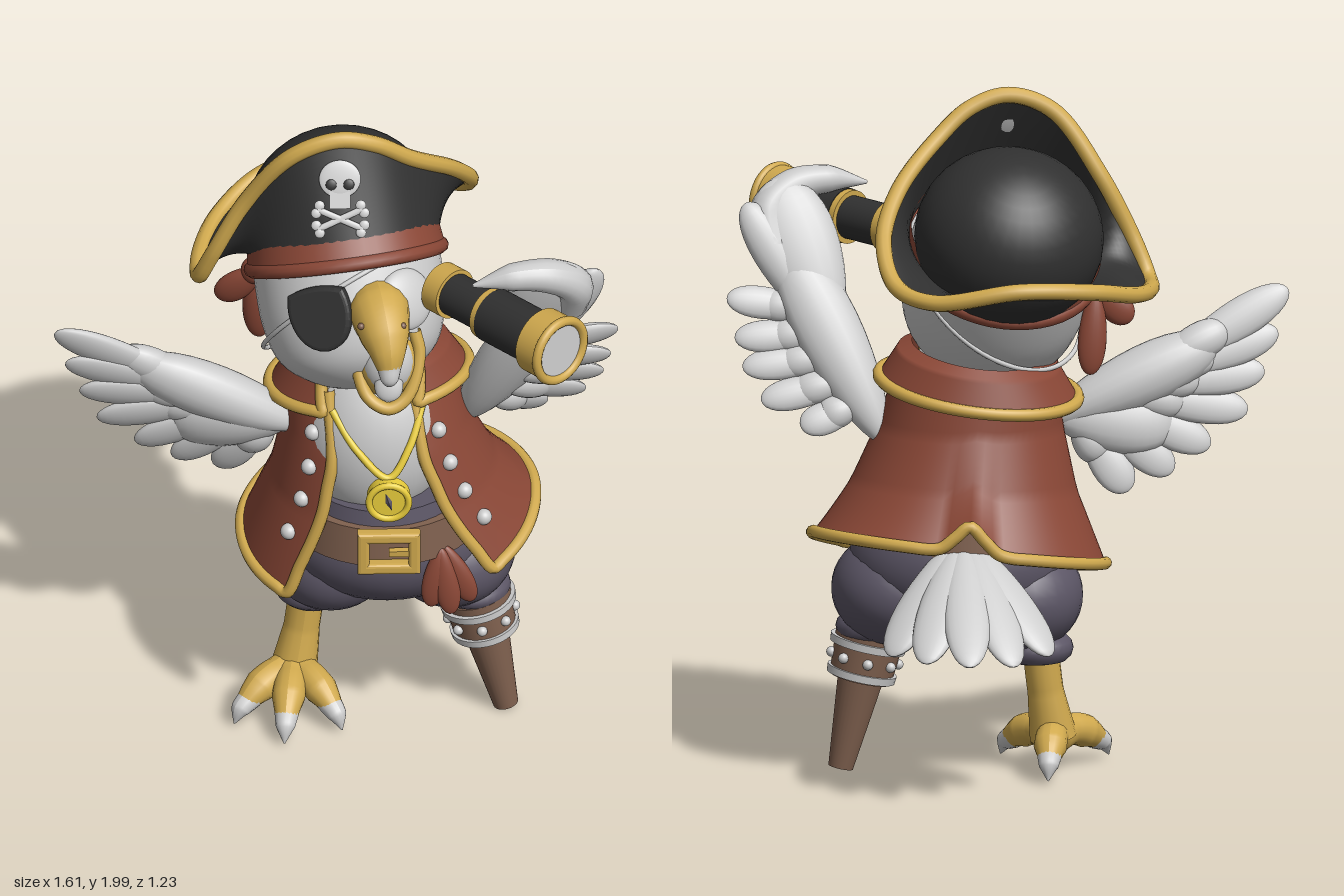
import * as THREE from 'three';
import { ParametricGeometry } from 'three/addons/geometries/ParametricGeometry.js';

const V = (x, y, z) => new THREE.Vector3(x, y, z);
const mat = (color) => new THREE.MeshStandardMaterial({ color, side: THREE.DoubleSide });
const grey = mat(0xcccccc), red = mat(0x8a4736), gold = mat(0xd0a94e), black = mat(0x303030);
const purple = mat(0x5c5666), brown = mat(0x80614f), yellow = mat(0xe8cc3c);

export function createModel() {
  const root = new THREE.Group();
  const group = (name, parent = root) => {
    const g = new THREE.Group();
    g.name = name;
    parent.add(g);
    return g;
  };
  const add = (parent, name, geo, m, p = [0, 0, 0], s = [1, 1, 1]) => {
    const o = new THREE.Mesh(geo, m);
    o.name = name;
    o.position.set(...p);
    o.scale.set(...s);
    parent.add(o);
    return o;
  };
  const ball = (parent, name, m, p, s) => add(parent, name, new THREE.SphereGeometry(1, 32, 20), m, p, s);
  const curveOf = (pts, closed = false) =>
    new THREE.CatmullRomCurve3(pts.map((p) => (p.isVector3 ? p : V(...p))), closed);
  const tube = (parent, name, m, pts, r, closed = false, n = 120) =>
    add(parent, name, new THREE.TubeGeometry(curveOf(pts, closed), n, r, 10, closed), m);

  // Tube whose radius follows a list of values along its path
  function taper(parent, name, m, pts, radii) {
    const curve = curveOf(pts), n = 24, seg = 16;
    const geo = new THREE.TubeGeometry(curve, n, 1, seg), pos = geo.attributes.position;
    for (let i = 0; i < pos.count; i++) {
      const t = Math.floor(i / (seg + 1)) / n, c = curve.getPointAt(t);
      const f = t * (radii.length - 1), k = Math.min(Math.floor(f), radii.length - 2);
      const r = THREE.MathUtils.lerp(radii[k], radii[k + 1], f - k);
      const v = V().fromBufferAttribute(pos, i).sub(c).multiplyScalar(r).add(c);
      pos.setXYZ(i, v.x, v.y, v.z);
    }
    geo.computeVertexNormals();
    return add(parent, name, geo, m);
  }

  // Flat feather or cloth leaf from a to b, broader towards b, facing n
  function leaf(parent, name, m, a, b, w, th, n = [0, 0, 1]) {
    const geo = new THREE.SphereGeometry(1, 20, 16), pos = geo.attributes.position;
    for (let i = 0; i < pos.count; i++) pos.setX(i, pos.getX(i) * (1 + 0.25 * pos.getY(i)));
    geo.computeVertexNormals();
    const A = V(...a), B = V(...b), y = B.clone().sub(A), len = y.length();
    y.normalize();
    const x = y.clone().cross(V(...n)).normalize(), z = x.clone().cross(y);
    const o = add(parent, name, geo, m, A.add(B).multiplyScalar(0.5).toArray(), [w, len / 2, th]);
    o.quaternion.setFromRotationMatrix(new THREE.Matrix4().makeBasis(x, y, z));
    return o;
  }

  // Open garment wrapped round the body; rows: [y, cx, cz, rx, rz, front half angle]
  function wrap(rows, adjust) {
    return (t, v, out = V()) => {
      const f = v * (rows.length - 1), k = Math.min(Math.floor(f), rows.length - 2);
      const [y, cx, cz, rx, rz, open] = rows[k].map((q, i) => THREE.MathUtils.lerp(q, rows[k + 1][i], f - k));
      const a = open + t * 2 * (Math.PI - open);
      const x = cx + rx * Math.sin(a), z = cz + rz * Math.cos(a);
      return out.set(x, y + adjust(x, z, v, a), z);
    };
  }
  function garment(parent, name, p) {
    add(parent, name, new ParametricGeometry(p, 60, 16), red);
    const edge = [];
    for (let i = 0; i < 8; i++) edge.push(p(0, i / 8));
    for (let i = 0; i <= 48; i++) edge.push(p(i / 48, 1));
    for (let i = 7; i >= 0; i--) edge.push(p(1, i / 8));
    tube(parent, name + 'Trim', gold, edge, 0.018, false, 260);
  }

  // Body and breeches
  const body = group('body');
  ball(body, 'chest', grey, [0.1, 1.0, 0.065], [0.23, 0.3, 0.235]);
  ball(body, 'breeches', purple, [0.14, 0.63, 0.03], [0.32, 0.22, 0.265]);
  ball(body, 'breechesSeat', purple, [0.14, 0.55, 0.02], [0.26, 0.12, 0.225]);
  ball(body, 'rightBreechesLeg', purple, [-0.02, 0.52, 0.01], [0.19, 0.17, 0.21]);
  ball(body, 'leftBreechesLeg', purple, [0.32, 0.54, 0.035], [0.19, 0.165, 0.21]);
  add(body, 'rightCuff', new THREE.TorusGeometry(0.07, 0.04, 12, 32).rotateX(Math.PI / 2), purple, [-0.07, 0.37, -0.02]);
  add(body, 'leftCuff', new THREE.TorusGeometry(0.075, 0.035, 12, 32).rotateX(Math.PI / 2), purple, [0.385, 0.425, 0.065]);

  // Belt, buckle and sash
  add(body, 'waistband', new THREE.CylinderGeometry(0.94, 1, 0.08, 40), purple, [0.13, 0.8, 0.05], [0.255, 1, 0.265]);
  add(body, 'belt', new THREE.CylinderGeometry(0.97, 1, 0.12, 40), brown, [0.13, 0.735, 0.05], [0.29, 1, 0.285]);
  const corners = (w, h) => [[-w, -h], [w, -h], [w, h], [-w, h]].map((p) => new THREE.Vector2(...p));
  const frame = new THREE.Shape(corners(0.08, 0.06));
  frame.holes.push(new THREE.Path(corners(0.066, 0.046).reverse()));
  add(body, 'buckle', new THREE.ExtrudeGeometry(frame, { depth: 0.02, bevelSize: 0.01, bevelThickness: 0.01, bevelSegments: 3 }), gold, [0.14, 0.735, 0.335]);
  add(body, 'bucklePin', new THREE.BoxGeometry(0.08, 0.018, 0.02), gold, [0.18, 0.735, 0.35]);
  leaf(body, 'sashEnd', red, [0.29, 0.7, 0.28], [0.26, 0.51, 0.3], 0.035, 0.02);
  leaf(body, 'sashEnd', red, [0.29, 0.7, 0.28], [0.32, 0.49, 0.31], 0.035, 0.02);
  leaf(body, 'sashEnd', red, [0.3, 0.7, 0.27], [0.38, 0.52, 0.29], 0.035, 0.02);

  // Coat and collar
  const coat = group('coat');
  const coatAt = wrap([
    [1.2, 0.09, 0.03, 0.23, 0.2, 0.55], [1.02, 0.11, 0.05, 0.265, 0.24, 0.5],
    [0.84, 0.13, 0.04, 0.325, 0.29, 0.6], [0.66, 0.145, 0.02, 0.42, 0.36, 0.78],
  ], (x, z, v, a) => v * v * (0.13 * (x - 0.12) - (z > 0 ? 0.28 : 0.15) * z + 0.08 * Math.max(0, 1 - Math.abs(a - Math.PI) / 0.22)));
  garment(coat, 'coatShell', coatAt);
  garment(coat, 'collar', wrap([
    [1.24, 0.09, 0.01, 0.19, 0.19, 0.75], [1.22, 0.09, 0.01, 0.23, 0.22, 0.65], [1.13, 0.09, 0.01, 0.285, 0.245, 0.5],
  ], (x, z) => 0.12 * (x - 0.09) + 0.12 * z));
  for (const t of [0.05, 0.95]) for (const v of [0.25, 0.43, 0.6, 0.77])
    ball(coat, 'button', grey, coatAt(t, v).toArray(), [0.024, 0.024, 0.024]);

  // Necklace with compass pendant
  const necklace = group('necklace');
  tube(necklace, 'chain', yellow, [[-0.02, 1.15, 0.23], [0.05, 1.05, 0.29], [0.14, 0.97, 0.315], [0.2, 1.05, 0.28], [0.24, 1.16, 0.21]], 0.011);
  add(necklace, 'pendant', new THREE.CylinderGeometry(0.062, 0.062, 0.04, 32).rotateX(Math.PI / 2), yellow, [0.14, 0.91, 0.33]);
  add(necklace, 'pendantRim', new THREE.TorusGeometry(0.057, 0.01, 10, 32), yellow, [0.14, 0.91, 0.35]);
  const needle = add(necklace, 'needle', new THREE.OctahedronGeometry(1), purple, [0.14, 0.91, 0.35], [0.01, 0.032, 0.006]);
  needle.rotation.z = 0.3;

  // Head, tipped back; its local y axis runs up through the hat
  const head = group('head');
  const up = V(-0.12, 0.85, -0.5).normalize(), side = V(0.99, 0.14, 0);
  side.addScaledVector(up, -side.dot(up)).normalize();
  head.position.set(0.02, 1.55, -0.04);
  head.quaternion.setFromRotationMatrix(new THREE.Matrix4().makeBasis(side, up, side.clone().cross(up)));
  const skullProfile = new THREE.SplineCurve([[0.001, -0.43], [0.12, -0.4], [0.22, -0.33], [0.262, -0.22], [0.27, -0.08], [0.26, 0.06]].map((p) => new THREE.Vector2(...p)));
  add(head, 'skull', new THREE.LatheGeometry(skullProfile.getPoints(24), 48), grey);
  add(head, 'headBand', new THREE.CylinderGeometry(0.275, 0.288, 0.09, 48, 1, true), red, [0, -0.01, 0]);
  add(head, 'headBandFold', new THREE.TorusGeometry(0.274, 0.022, 10, 48).rotateX(Math.PI / 2), red, [0, -0.045, 0]);
  const patch = new THREE.Shape();
  patch.moveTo(-0.075, 0.065).quadraticCurveTo(0, 0.09, 0.075, 0.065).bezierCurveTo(0.095, 0, 0.07, -0.085, 0, -0.09).bezierCurveTo(-0.07, -0.085, -0.095, 0, -0.075, 0.065);
  const eyePatch = add(head, 'eyePatch', new THREE.ExtrudeGeometry(patch, { depth: 0.012, bevelSize: 0.012, bevelThickness: 0.012, curveSegments: 10 }), black, [-0.075, -0.185, 0.248]);
  eyePatch.rotation.set(0.12, -0.28, 0.08);
  const strap = [...Array(32).keys()].map((i) => {
    const a = (i / 32) * Math.PI * 2;
    return V(0.268 * Math.sin(a), -0.15 + 0.13 * Math.sin(a + 0.38), 0.268 * Math.cos(a));
  });
  tube(head, 'patchStrap', grey, strap, 0.007, true);
  const eye = ball(head, 'eye', grey, [0.165, -0.17, 0.205], [0.09, 0.09, 0.035]);
  eye.rotation.y = 0.67;
  leaf(root, 'bandTail', red, [-0.22, 1.45, -0.05], [-0.34, 1.33, -0.08], 0.045, 0.025);
  leaf(root, 'bandTail', red, [-0.24, 1.43, -0.07], [-0.22, 1.18, -0.1], 0.04, 0.025);
  ball(root, 'bandKnot', red, [-0.23, 1.44, -0.06], [0.045, 0.04, 0.045]);

  // Open beak with a rimmed lower half
  const beak = group('beak');
  taper(beak, 'upperBeak', gold, [[0.1, 1.52, 0.18], [0.12, 1.51, 0.3], [0.135, 1.46, 0.37], [0.14, 1.41, 0.4]], [0.075, 0.088, 0.07, 0.035]);
  taper(beak, 'beakTip', grey, [[0.14, 1.42, 0.395], [0.14, 1.385, 0.41], [0.135, 1.35, 0.395]], [0.037, 0.027, 0.002]);
  ball(beak, 'lowerBeak', gold, [0.137, 1.335, 0.235], [0.095, 0.115, 0.105]);
  tube(beak, 'beakRim', gold, [[0.05, 1.44, 0.25], [0.047, 1.37, 0.27], [0.08, 1.26, 0.32], [0.14, 1.23, 0.34], [0.195, 1.26, 0.32], [0.228, 1.37, 0.27], [0.215, 1.44, 0.25]], 0.019);
  ball(beak, 'mouth', grey, [0.138, 1.345, 0.265], [0.08, 0.1, 0.08]);
  leaf(beak, 'tongue', grey, [0.14, 1.37, 0.3], [0.14, 1.265, 0.355], 0.04, 0.025, [0, 0.6, 1]);
  for (const x of [0.06, 0.18]) ball(beak, 'nostril', brown, [x, 1.53, 0.355], [0.01, 0.01, 0.01]);

  // Hat: brim stretched from the head band to a swept rim
  const hat = group('hat');
  const rim = curveOf([[0, 1.97, 0.055], [0.11, 1.94, 0.035], [0.21, 1.86, -0.01], [0.33, 1.74, -0.13], [0.385, 1.62, -0.25], [0.36, 1.51, -0.38],
    [0.26, 1.48, -0.47], [0.02, 1.52, -0.53], [-0.2, 1.5, -0.46], [-0.33, 1.46, -0.32], [-0.39, 1.44, -0.15], [-0.395, 1.445, -0.03],
    [-0.36, 1.54, 0.01], [-0.26, 1.74, 0.02], [-0.13, 1.92, 0.06]], true);
  add(hat, 'brim', new ParametricGeometry((u, v, out) => {
    const e = rim.getPoint(u), d = e.clone().sub(head.position);
    d.addScaledVector(up, -d.dot(up)).setLength(0.275).add(head.position);
    out.lerpVectors(d, e, v).addScaledVector(up, 0.02 * Math.sin(Math.PI * v));
  }, 72, 10), black);
  add(hat, 'rimTrim', new THREE.TubeGeometry(rim, 140, 0.024, 10, true), gold);
  ball(head, 'crown', black, [0, 0.08, -0.05], [0.272, 0.25, 0.272]);
  const emblem = group('hatEmblem', hat);
  emblem.position.set(0.005, 1.865, 0.116);
  emblem.rotation.x = -0.46;
  emblem.scale.z = 0.6;
  ball(emblem, 'cranium', grey, [0, 0.01, 0], [0.06, 0.055, 0.015]);
  add(emblem, 'jaw', new THREE.BoxGeometry(0.06, 0.05, 0.02), grey, [0, -0.05, 0]);
  for (const s of [-1, 1]) {
    ball(emblem, 'socket', black, [s * 0.025, -0.005, 0.012], [0.016, 0.016, 0.008]);
    const bone = group('bone', emblem);
    bone.position.set(0, -0.105, 0.008);
    bone.rotation.z = s * 1.15;
    add(bone, 'shaft', new THREE.CylinderGeometry(0.01, 0.01, 0.14, 10), grey);
    for (const y of [-0.07, 0.07]) for (const x of [-0.012, 0.012]) ball(bone, 'knuckle', grey, [x, y, 0], [0.015, 0.015, 0.012]);
  }

  // Spyglass
  const glass = group('spyglass');
  glass.position.set(0.29, 1.55, 0.19);
  glass.lookAt(0.645, 1.575, 0.57);
  for (const [name, m, z0, z1, r] of [['eyecup', gold, 0, 0.06, 0.075], ['innerTube', black, 0.05, 0.21, 0.063], ['middleRing', gold, 0.2, 0.23, 0.078],
    ['outerTube', black, 0.22, 0.42, 0.08], ['frontRing', gold, 0.41, 0.49, 0.098], ['lens', grey, 0.48, 0.493, 0.08]])
    add(glass, name, new THREE.CylinderGeometry(r, r, z1 - z0, 36).rotateX(Math.PI / 2), m, [0, 0, (z0 + z1) / 2]);
  add(glass, 'frontLip', new THREE.TorusGeometry(0.092, 0.014, 10, 36), gold, [0, 0, 0.492]);

  // Right wing spread out to the side
  const rightWing = group('rightWing'), lean = [0, -0.35, 0.94];
  leaf(rightWing, 'wingArm', grey, [-0.1, 1.0, 0.08], [-0.6, 1.23, 0.09], 0.085, 0.075, lean);
  leaf(rightWing, 'wingBase', grey, [-0.12, 1.03, 0.08], [-0.48, 1.0, 0.07], 0.1, 0.06, lean);
  [[-0.81, 1.37], [-0.78, 1.25], [-0.74, 1.14], [-0.69, 1.03], [-0.58, 0.93], [-0.47, 0.86], [-0.34, 0.81]].forEach(([x, y], i) => {
    const k = i / 6, bx = -0.46 + 0.24 * k, by = 1.17 - 0.17 * k;
    leaf(rightWing, 'flightFeather', grey, [bx, by, 0.08], [x, y, 0.14 - 0.12 * k], 0.056, 0.027, lean);
    leaf(rightWing, 'covertFeather', grey, [bx + 0.03, by, 0.08], [bx * 0.5 + x * 0.5, by * 0.5 + y * 0.5, 0.1 - 0.05 * k], 0.054, 0.045, lean);
  });

  // Left wing raised, its feathers curling over the spyglass
  const leftWing = group('leftWing'), tilt = [0, -0.45, 0.89];
  leaf(leftWing, 'wingArm', grey, [0.36, 0.97, 0.01], [0.62, 1.5, 0.2], 0.095, 0.06, tilt);
  leaf(leftWing, 'palm', grey, [0.5, 1.25, 0.12], [0.65, 1.69, 0.28], 0.115, 0.05, tilt);
  leaf(leftWing, 'fingerFeather', grey, [0.55, 1.3, 0.15], [0.74, 1.63, 0.23], 0.06, 0.04, tilt);
  [[0.8, 1.37, 0.15], [0.78, 1.26, 0.12], [0.76, 1.18, 0.09], [0.71, 1.09, 0.05], [0.6, 1.02, 0.01]].forEach(([x, y, z], i) => {
    const bx = 0.55 - 0.03 * i, by = 1.33 - 0.065 * i, bz = 0.17 - 0.03 * i;
    leaf(leftWing, 'flightFeather', grey, [bx, by, bz], [x, y, z], 0.047, 0.024, tilt);
    leaf(leftWing, 'covertFeather', grey, [bx, by, bz], [(bx + x) / 2 + 0.03, (by + y) / 2, (bz + z) / 2], 0.048, 0.038, tilt);
  });
  taper(leftWing, 'finger', grey, [[0.66, 1.5, 0.21], [0.67, 1.6, 0.26], [0.6, 1.66, 0.3], [0.5, 1.675, 0.325], [0.38, 1.66, 0.345]], [0.05, 0.055, 0.05, 0.04, 0.005]);

  // Tail fan
  const tail = group('tail');
  [[0.38, 0.44, -0.43], [0.29, 0.44, -0.54], [0.17, 0.44, -0.6], [0.04, 0.43, -0.56], [-0.07, 0.44, -0.47]].forEach((tip, i) =>
    leaf(tail, 'tailFeather', grey, [0.18 - 0.015 * i, 0.71, -0.18], tip, 0.064, 0.03, [(i - 2) * -0.2, 0.8, -0.6]));

  // Right leg and clawed foot
  const leg = group('rightLeg');
  taper(leg, 'shin', gold, [[-0.085, 0.38, -0.01], [-0.1, 0.25, -0.005], [-0.125, 0.1, 0.01]], [0.052, 0.052, 0.068]);
  for (const [x, z] of [[-0.26, 0.13], [-0.15, 0.21], [-0.02, 0.16], [-0.1, -0.14]]) {
    const at = (k, y) => [-0.125 + (x + 0.125) * k, y, 0.01 + (z - 0.01) * k];
    taper(leg, 'toe', gold, [at(0, 0.105), at(0.45, 0.11), at(0.8, 0.09), at(1.05, 0.065)], [0.058, 0.046, 0.048, 0.03]);
    taper(leg, 'claw', grey, [at(0.93, 0.075), at(1.15, 0.052), at(1.28, 0.012)], [0.036, 0.028, 0.002]);
  }

  // Left peg leg
  const peg = group('pegLeg');
  peg.position.set(0.48, 0.01, 0.07);
  peg.rotation.z = 0.215;
  add(peg, 'peg', new THREE.CylinderGeometry(0.072, 0.036, 0.32, 28), brown, [0, 0.16, 0]);
  add(peg, 'socketCuff', new THREE.CylinderGeometry(0.1, 0.09, 0.14, 32), brown, [0, 0.335, 0]);
  for (const [y, r] of [[0.28, 0.094], [0.37, 0.104]])
    add(peg, 'cuffHoop', new THREE.CylinderGeometry(r + 0.007, r + 0.005, 0.022, 32), grey, [0, y, 0]);
  for (let i = 0; i < 8; i++) {
    const a = (i / 8) * Math.PI * 2;
    ball(peg, 'rivet', grey, [0.098 * Math.sin(a), 0.325, 0.098 * Math.cos(a)], [0.015, 0.015, 0.015]);
  }
  return root;
}
